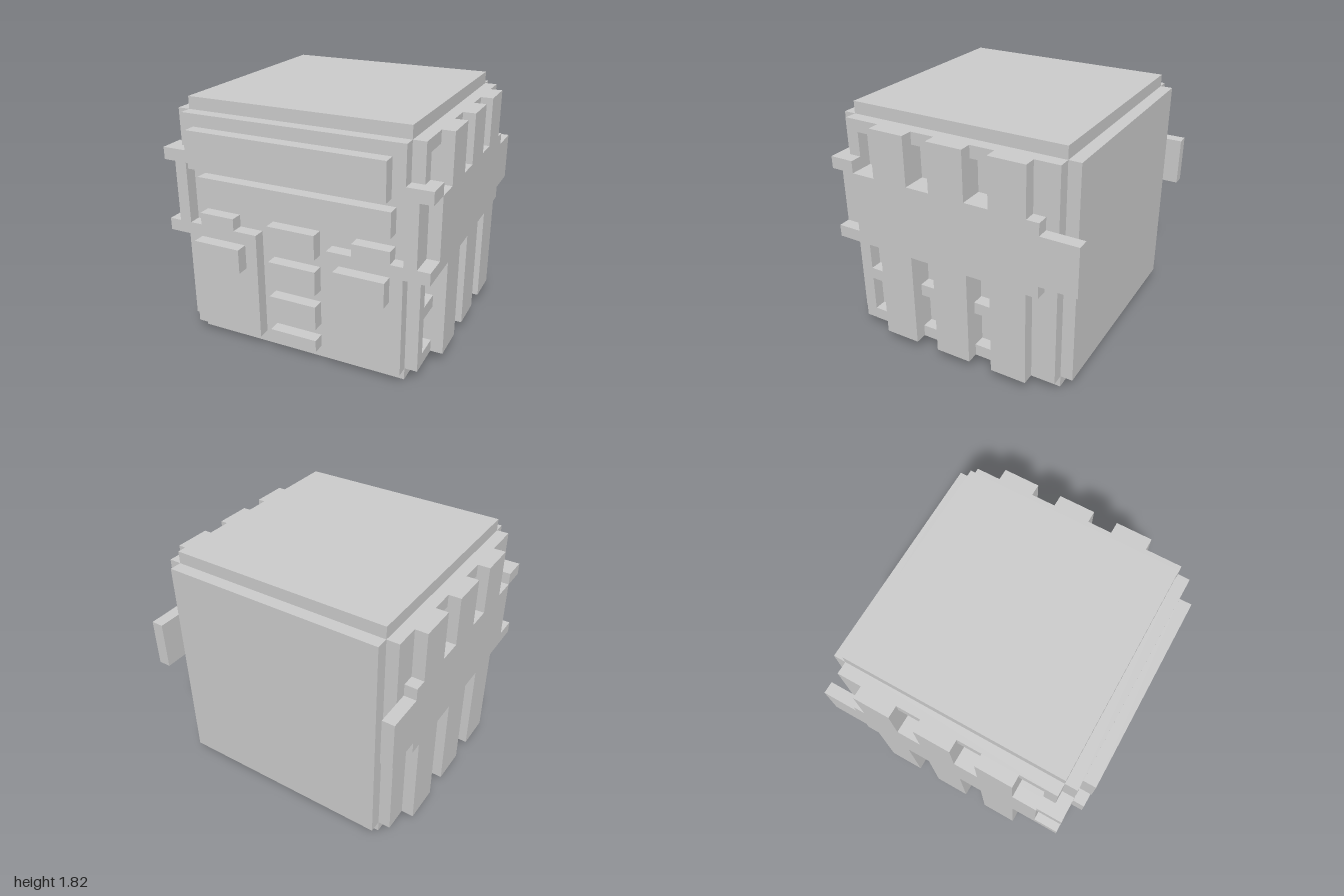
import * as THREE from 'three';

// The whole design sits on a grid of 1/11 unit
const U = 1 / 11;
const material = new THREE.MeshStandardMaterial({ color: 0xcccccc, flatShading: true });

function addMesh(parent, name, geometry) {
  const mesh = new THREE.Mesh(geometry.scale(U, U, U), material);
  mesh.name = name;
  parent.add(mesh);
  return mesh;
}

// Box given by its grid ranges
function block(parent, name, [x0, x1], [y0, y1], [z0, z1]) {
  const g = new THREE.BoxGeometry(x1 - x0, y1 - y0, z1 - z0);
  g.translate((x0 + x1) / 2, (y0 + y1) / 2, (z0 + z1) / 2);
  return addMesh(parent, name, g);
}

const toPoints = (list) => list.map(([a, b]) => new THREE.Vector2(a, b));
const rect = (a0, a1, b0, b1) => toPoints([[a0, b0], [a1, b0], [a1, b1], [a0, b1]]);

// One-cell-thick slab with a (z, y) outline, occupying x0 .. x0 + 1
function sideSlab(parent, name, shape, x0) {
  const g = new THREE.ExtrudeGeometry(shape, { depth: 1, bevelEnabled: false });
  g.rotateY(-Math.PI / 2).translate(x0 + 1, 0, 0);
  return addMesh(parent, name, g);
}

// Inner side wall with three columns of window recesses
function windowWallShape() {
  const shape = new THREE.Shape(rect(-9, 9, 1, 19));
  for (const z of [-4, 1, 6]) {
    for (const [y0, y1] of [[2, 5], [6, 9], [15, 18]]) {
      shape.holes.push(new THREE.Path(rect(z, z + 2, y0, y1)));
    }
  }
  return shape;
}

// Outer side panel: wide band, three vertical bars and a tab to the rear
function sidePanelShape() {
  const pts = [[-8, 9], [-7, 9]];
  const bars = [[-7, -4], [-2, 1], [3, 6]];
  for (const [a, b] of bars) pts.push([a, 9], [a, 1], [b, 1], [b, 9]);
  pts.push([8, 9], [8, 15]);
  for (const [a, b] of [...bars].reverse()) pts.push([b, 15], [b, 19], [a, 19], [a, 15]);
  pts.push([-8, 15], [-8, 14], [-11, 14], [-11, 10], [-8, 10]);
  const clean = pts.filter((p, i) => i === 0 || p[0] !== pts[i - 1][0] || p[1] !== pts[i - 1][1]);
  return new THREE.Shape(toPoints(clean));
}

export function createModel() {
  const model = new THREE.Group();
  model.name = 'blockModel';

  // Body and back
  block(model, 'core', [-9, 9], [0, 20], [-9, 9]);
  block(model, 'backPlate', [-9, 9], [1, 19], [-10, -9]);

  // Upper front
  block(model, 'browPlate', [-9, 9], [15, 19], [9, 10]);
  block(model, 'browBar', [-8, 8], [15, 18], [10, 11]);
  block(model, 'middleBar', [-8, 8], [12, 14], [9, 10]);

  // Column of small blocks down the front
  for (const y of [[9, 11], [6, 8], [3, 5], [1, 2]]) {
    block(model, 'centreBlock', [-2, 2], y, [9, 10]);
  }

  // Mirrored parts
  for (const s of [1, -1]) {
    const side = new THREE.Group();
    side.name = s > 0 ? 'leftSide' : 'rightSide';
    model.add(side);
    const mx = (a, b) => (s > 0 ? [a, b] : [-b, -a]);

    // Lower front plate with raised tab and block
    block(side, 'lowerPlate', mx(3, 9), [1, 9], [9, 10]);
    block(side, 'lowerPlateTop', mx(3, 9), [9, 9 + 1], [9, 10]);
    block(side, 'plateTab', mx(5, 8), [10, 11], [9, 10]);
    block(side, 'plateBlock', mx(4, 8), [7, 9], [10, 11]);

    // Side wall and outer panel
    sideSlab(side, 'windowWall', windowWallShape(), s > 0 ? 9 : -10);
    sideSlab(side, 'sidePanel', sidePanelShape(), s > 0 ? 10 : -11);

    // Bracket wrapping round the front corner
    block(side, 'cornerPost', mx(9, 10), [9, 16], [9, 10]);
    for (const y of [9, 15]) block(side, 'cornerArm', mx(10, 11), [y, y + 1], [8, 10]);
  }
  return model;
}
